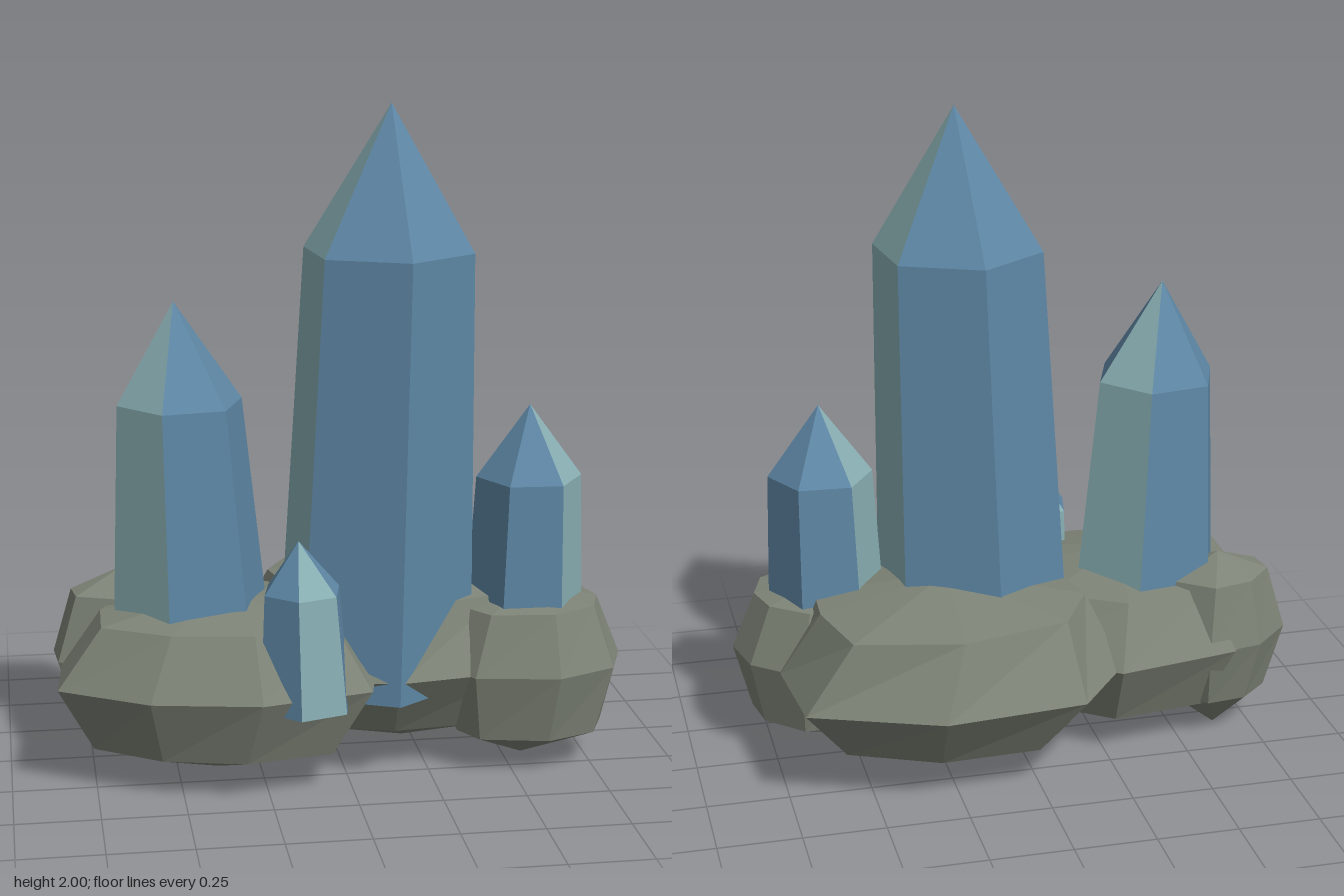
import * as THREE from 'three';

const blue = new THREE.MeshStandardMaterial({ color: 0x5e87a5, flatShading: true });
blue.name = 'crystal blue';
const teal = new THREE.MeshStandardMaterial({ color: 0x88aeb2, flatShading: true });
teal.name = 'crystal teal';
const stone = new THREE.MeshStandardMaterial({ color: 0x7d8376, flatShading: true });
stone.name = 'stone grey';

// Joins rings of points (bottom to top) into a faceted solid; slot(i) picks the material of side i.
function loft(rings, slot = () => 0) {
  const n = rings[0].length;
  const pos = [];
  const geo = new THREE.BufferGeometry();
  const tri = (a, b, c) => {
    if (a.distanceTo(b) < 1e-5 || b.distanceTo(c) < 1e-5 || c.distanceTo(a) < 1e-5) return;
    pos.push(...a.toArray(), ...b.toArray(), ...c.toArray());
  };
  for (let i = 0; i < n; i++) {
    const start = pos.length / 3;
    const j = (i + 1) % n;
    for (let k = 0; k < rings.length - 1; k++) {
      const lo = rings[k], hi = rings[k + 1];
      tri(lo[i], lo[j], hi[j]);
      tri(lo[i], hi[j], hi[i]);
    }
    geo.addGroup(start, pos.length / 3 - start, slot(i));
  }
  geo.setAttribute('position', new THREE.Float32BufferAttribute(pos, 3));
  geo.computeVertexNormals();
  return geo;
}

// Six-sided crystal: centres are [x, y, z], turn is the angle of the first edge from +z.
function crystal(name, turn, base, baseR, shoulder, shoulderR, tip) {
  const ring = ([x, y, z], r) => Array.from({ length: 6 }, (_, i) => {
    const a = THREE.MathUtils.degToRad(turn + i * 60);
    return new THREE.Vector3(x + r * Math.sin(a), y, z + r * Math.cos(a));
  });
  const rings = [ring(base, 0), ring(base, baseR), ring(shoulder, shoulderR), ring(tip, 0)];
  const mesh = new THREE.Mesh(loft(rings, (i) => (i % 3 === 1 ? 1 : 0)), [blue, teal]);
  mesh.name = name;
  return mesh;
}

// Boulder: widest outline as [x, z] points; lower and upper are [y, scale, twist] of the rings beside it.
function boulder(name, [cx, cz], outline, lower, upper, topY) {
  const ring = ([y, s, twist]) => outline.map(([x, z]) => {
    const dx = (x - cx) * s, dz = (z - cz) * s;
    const c = Math.cos(twist), n = Math.sin(twist);
    return new THREE.Vector3(cx + dx * c + dz * n, y, cz + dz * c - dx * n);
  });
  const rings = [ring([0, 0, 0]), ring(lower), ring([0.32, 1, 0]), ring(upper), ring([topY, 0, 0])];
  const mesh = new THREE.Mesh(loft(rings), stone);
  mesh.name = name;
  return mesh;
}

export function createModel() {
  const model = new THREE.Group();
  model.name = 'crystalCluster';

  // Boulders of the base
  model.add(
    boulder('backBoulder', [0.22, -0.06], [
      [0.14, 0.375], [0.5, 0.32], [0.7, 0.15], [0.74, -0.06], [0.71, -0.37],
      [0.32, -0.52], [-0.11, -0.48], [-0.28, -0.26], [-0.26, 0.08], [-0.1, 0.32]],
    [0.125, 0.7, -0.05], [0.53, 0.78, 0.15], 0.6),
    boulder('rightBoulder', [-0.38, 0.13], [
      [-0.28, 0.51], [0.05, 0.43], [0.1, 0.2], [0.02, -0.12], [-0.27, -0.31],
      [-0.65, -0.24], [-0.84, 0.05], [-0.86, 0.29], [-0.6, 0.45]],
    [0.115, 0.77, -0.05], [0.5, 0.74, 0.05], 0.56),
    boulder('leftBoulder', [0.56, 0.14], [
      [0.62, 0.4], [0.8, 0.32], [0.855, 0.17], [0.82, 0.02], [0.68, -0.1],
      [0.45, -0.1], [0.3, 0.03], [0.3, 0.25], [0.37, 0.36]],
    [0.11, 0.82, -0.05], [0.5, 0.76, 0.05], 0.54),
    boulder('smallBoulder', [-0.64, -0.07], [
      [-0.65, 0.12], [-0.47, 0.06], [-0.43, -0.12], [-0.57, -0.24],
      [-0.74, -0.21], [-0.86, -0.09], [-0.85, 0.03]],
    [0.125, 0.72, -0.05], [0.52, 0.74, 0.05], 0.59),
  );

  // Crystals; the turn puts the teal faces on the second and fifth sides
  model.add(
    crystal('tallCrystal', 6, [0.108, 0.25, 0.08], 0.305, [0.143, 1.57, 0.11], 0.26, [0.15, 2, 0.11]),
    crystal('rightCrystal', 40, [-0.442, 0.3, 0.077], 0.25, [-0.475, 1.13, 0.09], 0.19, [-0.49, 1.43, 0.09]),
    crystal('leftCrystal', -33, [0.56, 0.3, 0.13], 0.185, [0.57, 0.88, 0.14], 0.16, [0.57, 1.1, 0.14]),
    crystal('smallCrystal', -72, [-0.14, 0.27, 0.373], 0.145, [-0.15, 0.62, 0.37], 0.12, [-0.16, 0.77, 0.37]),
  );
  return model;
}
